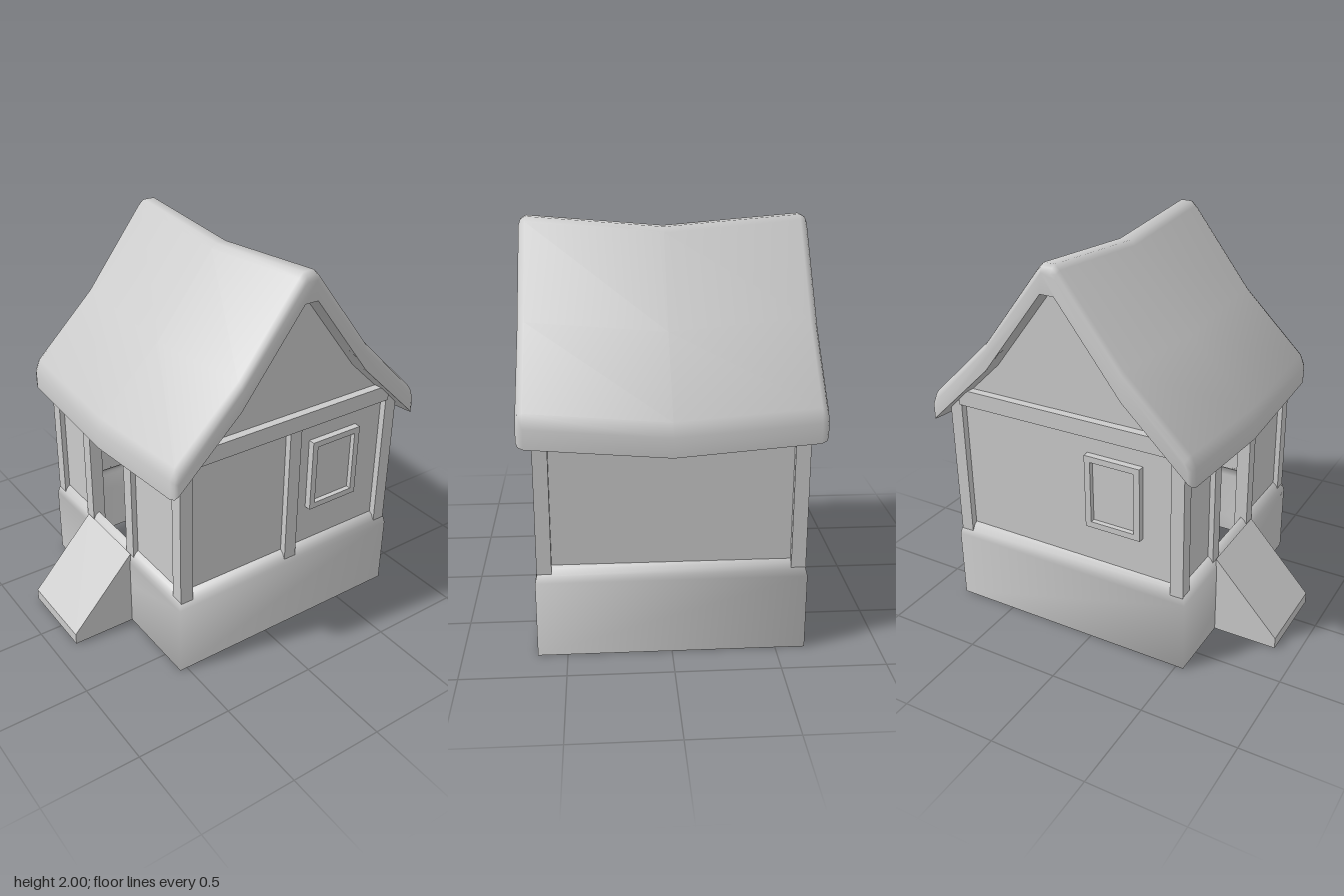
import * as THREE from 'three';
import { toCreasedNormals } from 'three/addons/utils/BufferGeometryUtils.js';

const CX = 0.14;               // middle of the house in x
const WX = 0.64, WZ = 0.6;     // half sizes of the walls
const material = new THREE.MeshStandardMaterial({ color: 0xcccccc, side: THREE.DoubleSide });

// Skin over a list of rings of [x, y, z]; optionally closed around and capped at both ends
function skin(rings, { closed = true, caps = false } = {}) {
  const n = rings[0].length, index = [];
  for (let r = 0; r < rings.length - 1; r++) {
    for (let i = 0; i < (closed ? n : n - 1); i++) {
      const j = (i + 1) % n;
      const a = r * n + i, b = r * n + j, c = b + n, d = a + n;
      index.push(a, b, c, a, c, d);
    }
  }
  if (caps) {
    const last = (rings.length - 1) * n;
    const outline = rings[0].map(([x, y]) => new THREE.Vector2(x, y));
    for (const [a, b, c] of THREE.ShapeUtils.triangulateShape(outline, [])) {
      index.push(a, c, b, last + a, last + b, last + c);
    }
  }
  const geometry = new THREE.BufferGeometry();
  geometry.setAttribute('position', new THREE.Float32BufferAttribute(rings.flat(2), 3));
  geometry.setIndex(index);
  geometry.computeVertexNormals();
  return geometry;
}

function shapeOf(points) {
  return new THREE.Shape(points.map(([x, y]) => new THREE.Vector2(x, y)));
}

function rectangle(w, h) {
  return [[-w / 2, -h / 2], [w / 2, -h / 2], [w / 2, h / 2], [-w / 2, h / 2]];
}

export function createModel() {
  const house = new THREE.Group();
  house.name = 'house';

  const add = (name, geometry, x = 0, y = 0, z = 0, parent = house) => {
    const mesh = new THREE.Mesh(geometry, material);
    mesh.name = name;
    mesh.position.set(x, y, z);
    parent.add(mesh);
    return mesh;
  };
  const box = (name, w, h, d, x, y, z, parent) =>
    add(name, new THREE.BoxGeometry(w, h, d), x, y, z, parent);

  // Foundation: hollow skirt with a rounded shoulder, [height, inset]
  const skirt = [[0, 0], [0.38, 0], [0.415, 0.008], [0.445, 0.025], [0.46, 0.045]];
  add('foundation', skin(skirt.map(([y, inset]) => {
    const x = 0.68 - inset, z = 0.643 - inset;
    return [[x, y, z], [x, y, -z], [-x, y, -z], [-x, y, z]];
  })), CX);

  // Front and back walls with their gables
  const gable = shapeOf([[-WX, 0.45], [WX, 0.45], [WX, 1.19], [0.375, 1.45],
    [0.04, 1.89], [-0.04, 1.89], [-0.375, 1.45], [-WX, 1.19]]);
  for (const s of [1, -1]) {
    const wall = add(s > 0 ? 'frontWall' : 'backWall', new THREE.ShapeGeometry(gable), CX, 0, s * WZ);
    if (s < 0) wall.rotation.y = Math.PI;
    box(s > 0 ? 'frontBeam' : 'backBeam', 1.21, 0.085, 0.08, CX, 1.21, s * 0.603);
  }

  // Left wall is plain, right wall has the doorway
  const left = add('leftWall', new THREE.PlaneGeometry(2 * WZ, 0.73), CX + WX, 0.815, 0);
  left.rotation.y = Math.PI / 2;
  const doorway = shapeOf([[-WZ, 0.45], [-0.265, 0.45], [-0.265, 1.1], [0.155, 1.1],
    [0.155, 0.45], [WZ, 0.45], [WZ, 1.18], [-WZ, 1.18]]);
  const right = add('doorWall', new THREE.ShapeGeometry(doorway), CX - WX, 0, 0);
  right.rotation.y = -Math.PI / 2;

  // Timber posts
  const post = (name, x, z) => box(name, 0.07, 0.82, 0.07, x, 0.79, z);
  for (const sx of [1, -1]) {
    for (const sz of [1, -1]) post('cornerPost', CX + sx * 0.633, sz * WZ);
  }
  post('frontPost', 0.15, WZ);
  for (const z of [-0.265, 0.155]) post('doorPost', CX - 0.633, z);

  // Windows: raised frame, inner sash and pane
  const frame = (w, h, border, depth) => {
    const shape = shapeOf(rectangle(w, h));
    shape.holes.push(shapeOf(rectangle(w - 2 * border, h - 2 * border)));
    return new THREE.ExtrudeGeometry(shape, { depth, bevelEnabled: false });
  };
  for (const s of [1, -1]) {
    const window = new THREE.Group();
    window.name = s > 0 ? 'frontWindow' : 'backWindow';
    window.position.set(CX + s * 0.278, 0.865, s * WZ);
    window.rotation.y = s > 0 ? 0 : Math.PI;
    add('windowFrame', frame(0.305, 0.395, 0.032, 0.035), 0, 0, 0, window);
    box('windowPane', 0.245, 0.335, 0.01, 0, 0, 0.004, window);
    house.add(window);
  }

  // Roof: thick curved section, sagging towards the middle, with softened ends
  const half = [[0.74, 1.07], [0.74, 1.165], [0.715, 1.23], [0.375, 1.56], [0.055, 1.975], [0.03, 2]];
  const under = [[0.375, 1.42], [0.037, 1.86]];
  const mirror = (points) => points.map(([x, y]) => [-x, y]).reverse();
  const section = [...half, ...mirror(half), ...under.map(([x, y]) => [-x, y]), ...[...under].reverse()];
  const endHalf = [[0.715, 1.095], [0.715, 1.155], [0.695, 1.2], [0.37, 1.523], [0.048, 1.94], [0.026, 1.96]];
  const endSection = [...endHalf, ...mirror(endHalf), ...section.slice(2 * half.length)];
  const stations = [[-0.7, endSection, 0.9], [-0.69, section, 0.75], [-0.665, section, 0],
    [0, section, 0], [0.665, section, 0], [0.69, section, 0.75], [0.7, endSection, 0.9]];
  const roof = skin(stations.map(([z, points, soften]) => points.map(([x, y], i) => {
    // Stations between the full section and the end blend the two
    const end = endSection[i];
    const k = points === section ? soften * 0.45 : 0;
    const sag = 0.055 * Math.max(0, 1 - Math.abs(z) / 0.665);
    return [x + (end[0] - x) * k, y + (end[1] - y) * k - sag, z];
  })), { caps: true });
  add('roof', toCreasedNormals(roof, 1.1), CX);

  // Entrance ramp, open underneath
  const ramp = [[-0.535, 0], [-0.535, 0.435], [-0.88, 0.06], [-0.88, 0]];
  const rampGeometry = skin([-0.275, 0.17].map((z) => ramp.map(([x, y]) => [x, y, z])),
    { closed: false, caps: true });
  add('ramp', toCreasedNormals(rampGeometry, 0.5));

  return house;
}
